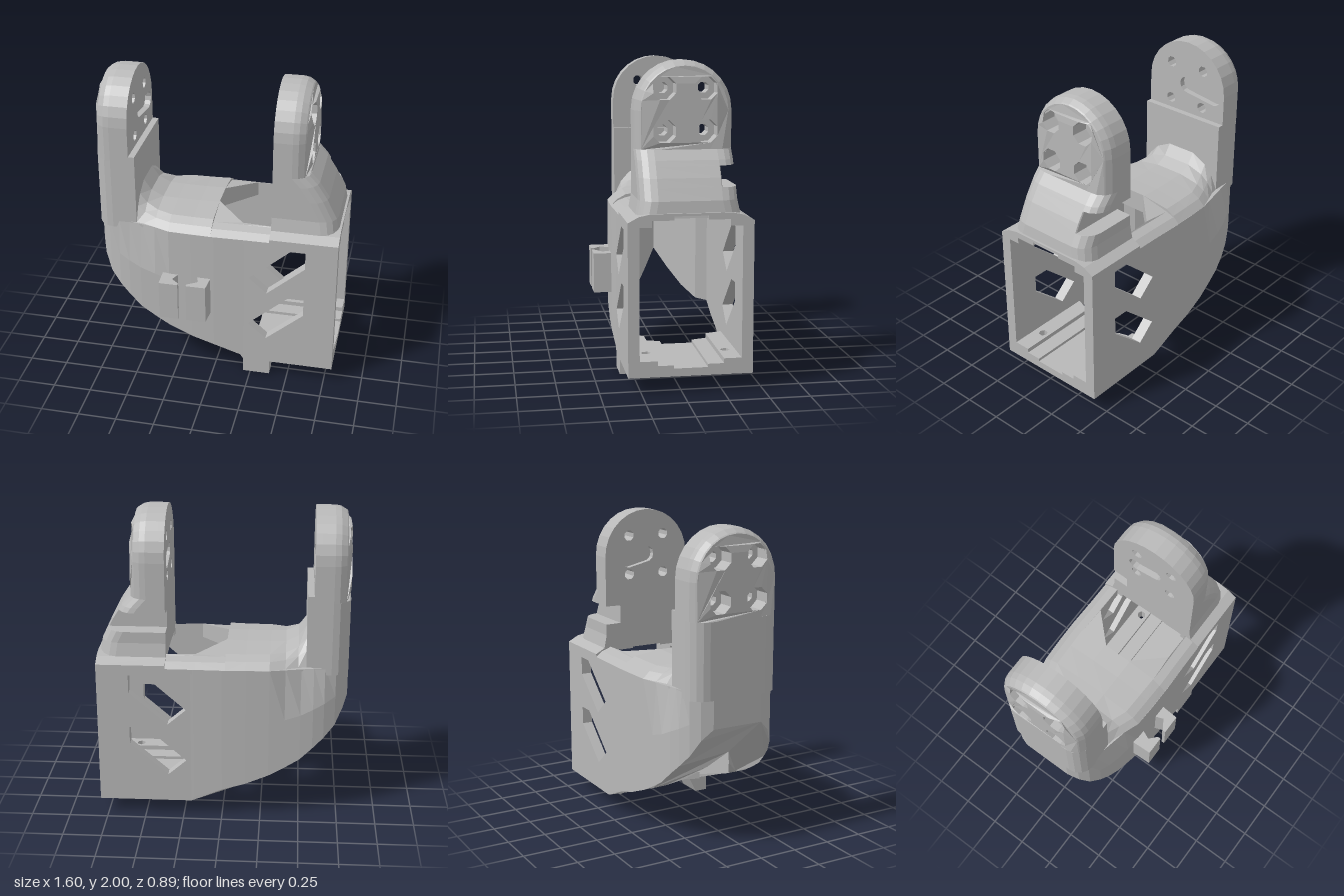
import * as THREE from 'three';

const R = 0.11;          // outer edge rounding of the uprights
const HALF = 0.305;      // half width of the uprights
const ARC_Y = 1.695;     // centre of the arched tops
const BASE_Y = 1.46;     // where the arched heads start

const grey = new THREE.MeshStandardMaterial({ color: 0xb8b8b8, flatShading: true });
grey.name = 'light grey plastic';

const vec = (pts) => pts.map(([a, b]) => new THREE.Vector2(a, b));
const circle = (cx, cy, r, n = 8) => Array.from({ length: n }, (_, i) => {
  const a = (i + 0.5) / n * Math.PI * 2;
  return [cx + r * Math.cos(a), cy + r * Math.sin(a)];
});
function shapeOf(pts, holes = []) {
  const s = new THREE.Shape(vec(pts));
  holes.forEach((h) => s.holes.push(new THREE.Path(vec(h))));
  return s;
}
const extrude = (shape, depth, steps = 1) =>
  new THREE.ExtrudeGeometry(shape, { depth, steps, bevelEnabled: false });
// plan shape (x, -z) raised along y
const extrudeUp = (shape, y0, y1) => extrude(shape, y1 - y0).rotateX(-Math.PI / 2).translate(0, y0, 0);

// piecewise linear lookup in [[x, y], ...]
function lerpTable(t, x) {
  if (x <= t[0][0]) return t[0][1];
  for (let i = 1; i < t.length; i++) {
    const [x0, y0] = t[i - 1], [x1, y1] = t[i];
    if (x <= x1) return y0 + (y1 - y0) * (x - x0) / (x1 - x0);
  }
  return t[t.length - 1][1];
}

// move every vertex by a rule
function reshape(g, rule) {
  const p = g.attributes.position, v = new THREE.Vector3();
  for (let i = 0; i < p.count; i++) {
    v.fromBufferAttribute(p, i);
    rule(v);
    p.setXYZ(i, v.x, v.y, v.z);
  }
  g.computeVertexNormals();
  return g;
}

// closed solid through matching rings of [x, y, z]
function loft(rings) {
  const n = rings[0].length, tris = [];
  const mid = (r) => [0, 1, 2].map((k) => r.reduce((s, p) => s + p[k], 0) / n);
  const first = rings[0], last = rings[rings.length - 1], a = mid(first), b = mid(last);
  for (let j = 0; j < n; j++) {
    const k = (j + 1) % n;
    for (let i = 0; i + 1 < rings.length; i++) {
      const p = rings[i], q = rings[i + 1];
      tris.push([p[j], p[k], q[k]], [p[j], q[k], q[j]]);
    }
    tris.push([a, first[k], first[j]], [b, last[j], last[k]]);
  }
  const volume = tris.reduce((s, [p, q, r]) => s
    + p[0] * (q[1] * r[2] - q[2] * r[1])
    + p[1] * (q[2] * r[0] - q[0] * r[2])
    + p[2] * (q[0] * r[1] - q[1] * r[0]), 0);
  if (volume < 0) tris.forEach((t) => t.reverse());
  const g = new THREE.BufferGeometry();
  g.setAttribute('position', new THREE.Float32BufferAttribute(tris.flat(2), 3));
  g.computeVertexNormals();
  return g;
}

// D-shaped level of an upright: square inside, rounded outside
function dRing(y, xi, xo, hw) {
  const s = Math.sign(xo - xi), pts = [[xi, y, -hw]];
  for (const side of [-1, 1]) for (let i = 0; i <= 4; i++) {
    const a = (side < 0 ? i : 4 - i) / 4 * Math.PI / 2;
    pts.push([xo - s * R * (1 - Math.sin(a)), y, side * (hw - R * (1 - Math.cos(a)))]);
  }
  pts.push([xi, y, hw]);
  return pts;
}

export function createModel() {
  const model = new THREE.Group();
  const root = new THREE.Group();
  root.name = 'bracket';
  root.position.z = -0.055;
  model.add(root);
  const add = (name, geometry) => {
    const m = new THREE.Mesh(geometry, grey);
    m.name = name;
    root.add(m);
    return m;
  };

  // arched upright heads with counterbored screw holes and a horn pocket
  const arch = [];
  for (let i = 0; i <= 8; i++) arch.push([-HALF + 2 * HALF * i / 8, BASE_Y]);
  for (let i = 0; i <= 14; i++) {
    const a = i / 14 * Math.PI;
    arch.push([HALF * Math.cos(a), ARC_Y + HALF * Math.sin(a)]);
  }
  const screws = (r) => [[-0.128, 1.57], [0.128, 1.57], [-0.128, 1.83], [0.128, 1.83]]
    .map(([u, y]) => circle(u, y, r));
  const edgeDist = (u, y) => HALF - (y > ARC_Y ? Math.hypot(u, y - ARC_Y) : Math.abs(u));

  function head(name, dir, xi, slotLength) {
    const slot = [];
    for (let i = 0; i <= 12; i++) {
      const a = i / 12 * Math.PI * 2 - Math.PI / 2, far = i > 6;
      slot.push([dir * (far ? 0 : slotLength) + 0.055 * Math.cos(a) * dir,
        1.70 - (far ? 0 : 0.03) + 0.055 * Math.sin(a)]);
    }
    const place = (g, d) => g.rotateY(dir * Math.PI / 2).translate(xi + dir * d, 0, 0);
    add(name + 'Pocket', place(extrude(shapeOf(arch, [...screws(0.036), slot]), 0.04), 0));
    add(name + 'Core', place(extrude(shapeOf(arch, screws(0.036)), 0.08), 0.04));
    const cap = reshape(extrude(shapeOf(arch, screws(0.075)), R, 3), (v) => {
      let t = edgeDist(v.x, v.y);
      if (t < 0.001) {
        const inset = Math.min(0.035, R - Math.sqrt(Math.max(0, R * R - v.z * v.z)));
        const k = (HALF - inset) / HALF;
        v.x *= k;
        if (v.y > ARC_Y) v.y = ARC_Y + (v.y - ARC_Y) * k;
        t = inset;
      }
      if (v.z > R - 0.001 && t < R) v.z = Math.sqrt(R * R - (R - t) ** 2);
    });
    add(name + 'Cap', place(cap, 0.12));
  }
  head('leftArmHead', 1, 0.36, 0.13);
  head('rightArmHead', -1, -0.57, 0.22);

  // lower part of the slim arm, with its thicker inner pad
  add('rightArm', loft([0.98, BASE_Y].map((y) => dRing(y, -0.57, -0.8, HALF))));
  const pad = add('rightArmPad', new THREE.BoxGeometry(0.04, 0.52, 0.61));
  pad.position.set(-0.55, 1.24, 0);

  // lower part of the flared arm, with a cable notch on its back edge
  const flare = [[1.07, 0.79], [1.17, 0.775], [1.3, 0.71], [1.4, 0.645], [BASE_Y, 0.59]];
  add('leftArm', loft([1.07, 1.17, 1.243, 1.245, 1.3, 1.365, 1.367, 1.4, BASE_Y].map((y) => {
    const ring = dRing(y, 0.36, lerpTable(flare, y), y < 1.1 ? 0.325 : HALF);
    if (y > 1.244 && y < 1.366) ring.forEach((p) => { p[2] = Math.max(p[2], -0.2); });
    return ring;
  })));

  // horseshoe wall with a curved open underside
  const belly = [[-0.8, 0.8], [-0.73, 0.64], [-0.65, 0.55], [-0.5, 0.41], [-0.35, 0.32],
    [-0.2, 0.25], [0, 0.19], [0.18, 0.13], [0.2, 0.1]];
  const outer = [[0.2, 0.385], [0.18, 0.386], [0, 0.39], [-0.15, 0.387], [-0.3, 0.38], [-0.4, 0.37],
    [-0.5, 0.36], [-0.58, 0.347], [-0.65, 0.325], [-0.72, 0.29], [-0.77, 0.24], [-0.8, 0.17]];
  const inner = [[-0.7, 0], [-0.58, 0.08], [-0.45, 0.16], [-0.33, 0.24], [-0.3, 0.315],
    [-0.15, 0.315], [0, 0.315], [0.18, 0.315], [0.2, 0.315]];
  const flip = (pts) => pts.map(([x, u]) => [x, -u]).reverse();
  const plan = [...outer, ...flip(outer), ...flip(inner), ...inner.slice(1)];
  const shell = extrude(shapeOf(plan), 1, 2).rotateX(-Math.PI / 2);
  add('curvedShell', reshape(shell, (v) => {
    if (v.y > 0.9 && v.x < -0.3) {
      const limit = v.x < -0.5 ? 0.304 : 0.304 + (v.x + 0.5) * 0.38;
      v.z = THREE.MathUtils.clamp(v.z, -limit, limit);
    }
    const low = lerpTable(belly, v.x);
    v.y = low + (1.03 - low) * v.y;
  }));

  // flat side walls with slanted windows
  const window1 = [[0.23, 0.75], [0.49, 0.98], [0.595, 0.98], [0.595, 0.86], [0.35, 0.645]];
  const window2 = window1.map(([x, y]) => [x, y - 0.357]);
  const wall = shapeOf([[0.2, 0.1], [0.8, 0.1], [0.8, 1.03], [0.2, 1.03]], [window1, window2]);
  add('frontWall', extrude(wall, 0.07).translate(0, 0, 0.315));
  add('backWall', extrude(wall, 0.07).translate(0, 0, -0.385));

  // crowned deck between the arms
  const deckW = [[-0.6, 0.3], [-0.5, 0.305], [-0.3, 0.38], [0, 0.39], [0.2, 0.385]];
  const deckY = [[-0.6, 1.28], [-0.53, 1.24], [-0.48, 1.17], [-0.4, 1.13], [-0.2, 1.125],
    [-0.02, 1.13], [0.18, 1.095], [0.36, 1.09]];
  add('deck', loft([-0.6, -0.53, -0.48, -0.4, -0.3, -0.15, -0.02].map((x) => {
    const w = lerpTable(deckW, x), c = lerpTable(deckY, x);
    const half = [[w, 1.0], [w, 1.03], [w - 0.045, 1.03 + (c - 1.03) * 0.45],
      [w - 0.1, 1.03 + (c - 1.03) * 0.75], [0.1, c]];
    return [...half, ...half.map(([u, y]) => [-u, y]).reverse()].map(([u, y]) => [x, y, u]);
  })));
  for (const side of [-1, 1]) {
    add(side > 0 ? 'deckStripFront' : 'deckStripBack', loft([-0.02, 0.17, 0.36].map((x) => {
      const w = lerpTable(deckW, x), c = lerpTable(deckY, x), h = x < 0 ? 0.09 : 0.28;
      return [[h, 1.0], [w, 1.0], [w, 1.03], [w - 0.045, 1.065], [w - 0.1, 1.085], [h, c]]
        .map(([u, y]) => [x, y, u * side]);
    })));
  }

  // roof of the open end with a stepped ceiling
  const roofHalf = [[0.385, 1.02], [0.385, 1.05], [0.32, 1.085], [0.25, 1.1]];
  const ceiling = [[-0.24, 1.02], [-0.24, 1.06], [-0.105, 1.06], [-0.105, 1.085]];
  const roof = shapeOf([...roofHalf, ...flip(roofHalf).map(([u, y]) => [u, -y]).map(([u], i) => {
    const [a, b] = roofHalf[roofHalf.length - 1 - i];
    return [-a, b];
  }), ...ceiling, ...ceiling.map(([u, y]) => [-u, y]).reverse()]);
  add('endRoof', extrude(roof, 0.44).rotateY(Math.PI / 2).translate(0.36, 0, 0));

  // floor with an arched edge, screw holes and stepped rails
  const edge = [[0.17, 0.315], [0.22, 0.19], [0.25, 0.09]];
  const holes = [circle(0.61, 0.25, 0.03, 6), circle(0.61, -0.25, 0.03, 6)];
  add('floor', extrudeUp(shapeOf([[0.8, 0.32], ...edge, ...flip(edge), [0.8, -0.32]], holes), 0.1, 0.15));
  for (const s of [-1, 1]) {
    add('floorRailLow', extrudeUp(shapeOf([[0.8, s * 0.105], [0.25, s * 0.105], [0.22, s * 0.205],
      [0.8, s * 0.205]]), 0.15, 0.17));
    add('floorRailHigh', extrudeUp(shapeOf([[0.8, s * 0.205], [0.22, s * 0.205], [0.18, s * 0.315],
      [0.8, s * 0.315]], [circle(0.61, s * 0.25, 0.03, 6)]), 0.15, 0.2));
  }

  // pair of cable clip jaws on the front wall
  const jaws = {
    clipJawRight: [[-0.345, 0.36], [-0.34, 0.505], [-0.215, 0.505], [-0.215, 0.485], [-0.265, 0.44], [-0.23, 0.36]],
    clipJawLeft: [[-0.02, 0.36], [-0.03, 0.505], [-0.16, 0.505], [-0.16, 0.485], [-0.09, 0.44], [-0.12, 0.36]],
  };
  for (const [name, pts] of Object.entries(jaws)) {
    add(name, extrudeUp(shapeOf(pts.map(([x, z]) => [x, -z])), 0.445, 0.71));
  }

  // small wedge foot under the front edge
  const foot = shapeOf([[-0.385, 0], [-0.3, 0], [-0.25, 0.1], [-0.25, 0.12], [-0.385, 0.12]]);
  add('foot', extrude(foot, 0.18).rotateY(Math.PI / 2).translate(0.2, 0, 0));

  return model;
}
